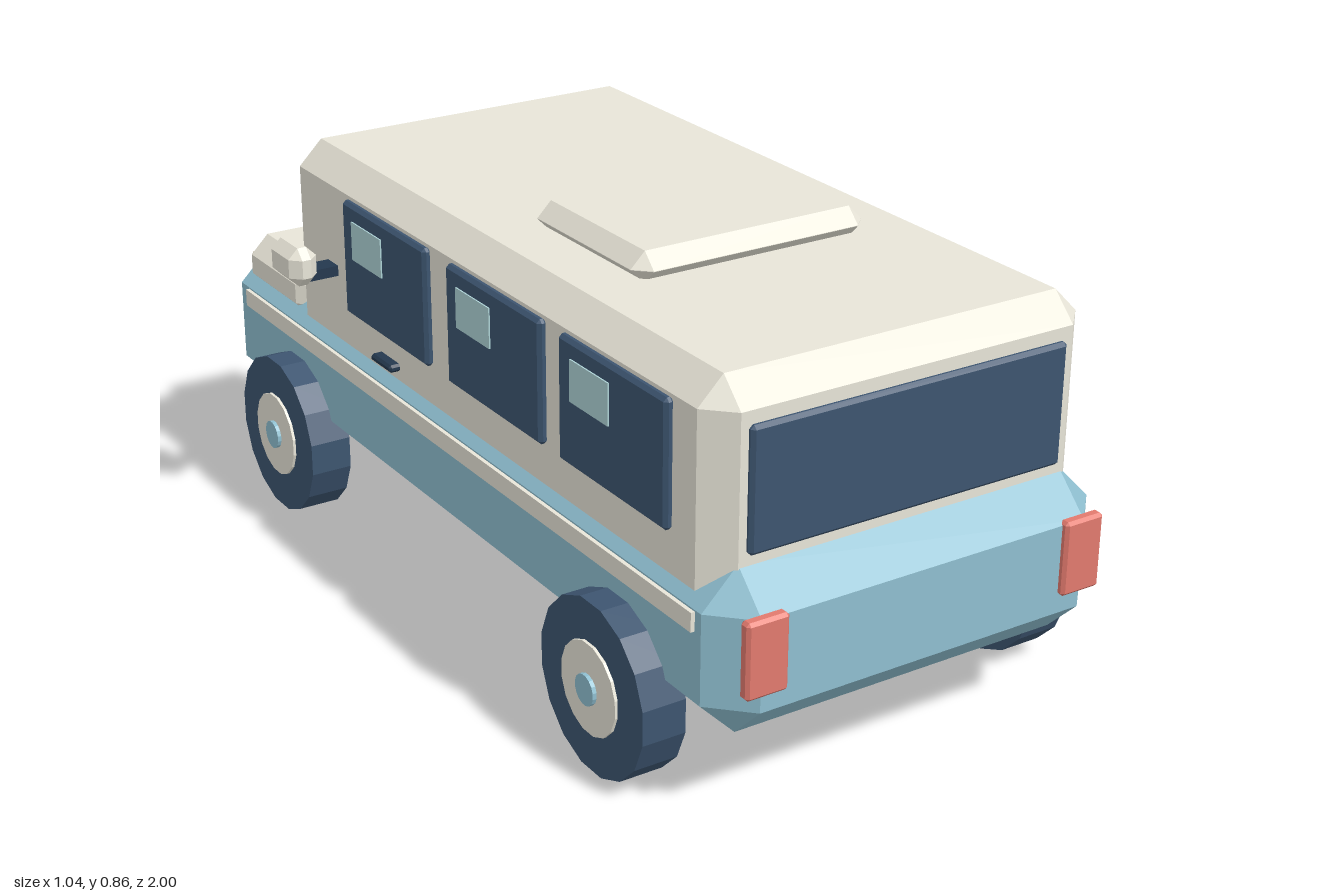
import * as THREE from 'three';
import { ConvexGeometry } from 'three/addons/geometries/ConvexGeometry.js';

const paint = (color) => new THREE.MeshStandardMaterial({ color, flatShading: true });
const BLUE = paint(0x8fbfd0), CREAM = paint(0xe8e5d8), NAVY = paint(0x3d5570), DARK = paint(0x24384e),
  SHINE = paint(0xaed3d6), RED = paint(0xe27a6e), LAMP = paint(0xf0e4c8);

// Box with every edge cut at 45 degrees by c, given by its min/max on each axis
function chamferBox(x, y, z, c) {
  const mid = [x, y, z].map(([a, b]) => (a + b) / 2);
  const half = [x, y, z].map(([a, b]) => (b - a) / 2);
  const points = [];
  for (const sx of [-1, 1]) for (const sy of [-1, 1]) for (const sz of [-1, 1]) {
    for (let full = 0; full < 3; full++) {
      const p = [sx, sy, sz].map((s, i) => s * (half[i] - (i === full ? 0 : c)));
      points.push(new THREE.Vector3(...p));
    }
  }
  const geometry = new ConvexGeometry(points);
  geometry.translate(...mid);
  return geometry;
}

function plainBox(x, y, z) {
  const geometry = new THREE.BoxGeometry(x[1] - x[0], y[1] - y[0], z[1] - z[0]);
  geometry.translate((x[0] + x[1]) / 2, (y[0] + y[1]) / 2, (z[0] + z[1]) / 2);
  return geometry;
}

export function createModel() {
  const van = new THREE.Group();
  van.name = 'van';

  function block(name, material, x, y, z, c = 0) {
    const mesh = new THREE.Mesh(c ? chamferBox(x, y, z, c) : plainBox(x, y, z), material);
    mesh.name = name;
    van.add(mesh);
  }
  // Range on the x axis mirrored to the given side
  const sided = (s, a, b) => (s > 0 ? [a, b] : [-b, -a]);

  // Body shells
  block('lowerBody', BLUE, [-0.42, 0.42], [0.167, 0.485], [-0.955, 0.987], 0.072);
  block('cabin', CREAM, [-0.402, 0.402], [0.34, 0.811], [-0.64, 0.92], 0.051);
  block('hood', CREAM, [-0.404, 0.404], [0.4, 0.523], [-0.897, -0.6], 0.04);
  block('roofHatch', CREAM, [-0.254, 0.254], [0.8, 0.861], [0.09, 0.47], 0.03);

  // Front and rear glass
  block('rearWindow', NAVY, [-0.335, 0.335], [0.5, 0.735], [0.91, 0.931], 0.007);
  block('windshield', NAVY, [-0.35, 0.35], [0.5, 0.755], [-0.655, -0.63], 0.007);
  block('windshieldShine', SHINE, [-0.25, -0.08], [0.565, 0.65], [-0.659, -0.65]);

  // Front end
  block('bumper', CREAM, [-0.365, 0.365], [0.22, 0.283], [-0.983, -0.94], 0.014);
  block('plateHolder', NAVY, [-0.115, 0.115], [0.285, 0.36], [-0.995, -0.978]);
  block('plate', CREAM, [-0.075, 0.075], [0.303, 0.342], [-1, -0.992]);

  for (const s of [1, -1]) {
    // Side windows; the shine sits to the viewer's left on both sides
    for (const centre of [0.631, 0.227, -0.198]) {
      block('sideWindow', NAVY, sided(s, 0.398, 0.418), [0.514, 0.755], [centre - 0.171, centre + 0.171], 0.007);
      const shine = centre + s * 0.064;
      block('windowShine', SHINE, sided(s, 0.412, 0.421), [0.642, 0.722], [shine - 0.062, shine + 0.062]);
    }

    // Trim and door handle
    block('sideTrim', CREAM, sided(s, 0.41, 0.428), [0.373, 0.41], [-0.845, 0.897]);
    block('doorHandle', DARK, sided(s, 0.395, 0.425), [0.451, 0.467], [-0.253, -0.17], 0.005);

    // Wing mirror
    block('mirrorArm', DARK, sided(s, 0.39, 0.49), [0.57, 0.592], [-0.475, -0.43]);
    block('mirrorHead', CREAM, sided(s, 0.46, 0.521), [0.574, 0.655], [-0.508, -0.388], 0.021);

    // Lamps
    block('headlight', LAMP, sided(s, 0.172, 0.352), [0.352, 0.445], [-0.968, -0.93]);
    block('tailLight', RED, sided(s, 0.299, 0.385), [0.275, 0.421], [0.975, 1], 0.006);

    // Wheels: tire, hubcap and centre cap
    for (const z of [0.66, -0.61]) {
      const wheel = new THREE.Group();
      wheel.name = 'wheel';
      const discs = [['tire', NAVY, 0.17, 0.388, 0.476], ['hubcap', CREAM, 0.09, 0.46, 0.482], ['centreCap', BLUE, 0.03, 0.47, 0.49]];
      for (const [name, material, radius, inner, outer] of discs) {
        const geometry = new THREE.CylinderGeometry(radius, radius, outer - inner, 16);
        geometry.rotateY(Math.PI / 16);
        geometry.rotateZ(Math.PI / 2);
        const disc = new THREE.Mesh(geometry, material);
        disc.name = name;
        disc.position.x = s * (inner + outer) / 2;
        wheel.add(disc);
      }
      wheel.position.set(0, 0.167, z);
      van.add(wheel);
    }
  }
  return van;
}
